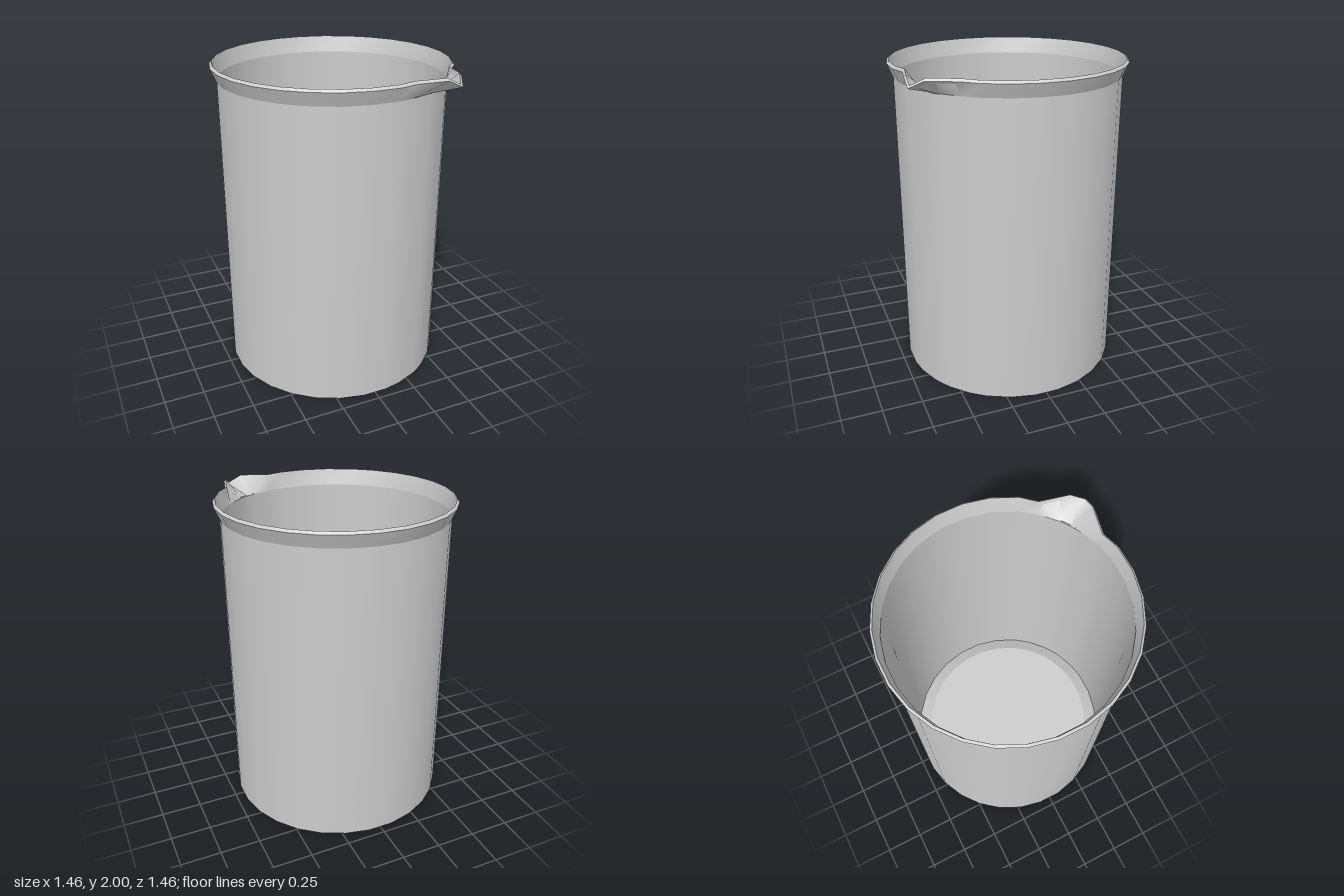
import * as THREE from 'three';
import { mergeGeometries } from 'three/addons/utils/BufferGeometryUtils.js';

const SIDES = 28;
const STEP = 360 / SIDES;

// Pouring lip: angle in degrees from +z towards +x, outward push, lift
const SPOUT = [
  [15.4, -0.012, 0],
  [27, 0.086, 0.007],
  [32.1, 0.131, -0.035],
  [37.4, 0.088, 0.007],
  [49, -0.01, 0],
];

// Regular columns round the beaker, with the spout's own columns in place of three
const columns = [];
for (let i = 0; i < SIDES; i++) {
  const a = (i + 0.5) * STEP;
  if (a < 15 || a > 50) columns.push([a, 0, 0]);
}
columns.push(...SPOUT);
columns.sort((p, q) => p[0] - q[0]);

// One band between two rings [radius, height, spout weight]; smooth around, creased at its edges
function band(lower, upper) {
  const n = columns.length;
  const positions = [];
  const index = [];
  for (const [r, y, w = 0] of [lower, upper]) {
    for (const [deg, push, lift] of columns) {
      const a = THREE.MathUtils.degToRad(deg);
      const radius = r + push * w;
      positions.push(radius * Math.sin(a), y + lift * w, radius * Math.cos(a));
    }
  }
  for (let j = 0; j < n; j++) {
    const k = (j + 1) % n;
    if (lower[0] > 0) index.push(j, k, n + k);
    if (upper[0] > 0) index.push(j, n + k, n + j);
  }
  const geometry = new THREE.BufferGeometry();
  geometry.setAttribute('position', new THREE.Float32BufferAttribute(positions, 3));
  geometry.setIndex(index);
  geometry.computeVertexNormals();
  return geometry;
}

// A run of bands along a profile
function shell(profile) {
  return mergeGeometries(profile.slice(1).map((ring, i) => band(profile[i], ring)));
}

export function createModel() {
  const glass = new THREE.MeshStandardMaterial({ color: 0xcccccc });
  glass.name = 'paleGreyGlass';
  glass.side = THREE.DoubleSide;

  const parts = {
    // pushed-up underside with a sloping foot ring
    base: [[0, 0.05], [0.6, 0.05], [0.697, 0]],
    outerWall: [[0.697, 0], [0.697, 1.895]],
    // flared rim, drawn out into the spout
    rimWithSpout: [[0.697, 1.895], [0.733, 1.978, 1], [0.718, 1.993, 1], [0.692, 1.89]],
    innerWall: [[0.692, 1.89], [0.692, 0.008]],
    floor: [[0.692, 0.008], [0.6, 0.056], [0, 0.056]],
  };

  const beaker = new THREE.Group();
  beaker.name = 'beaker';
  for (const [name, profile] of Object.entries(parts)) {
    const mesh = new THREE.Mesh(shell(profile), glass);
    mesh.name = name;
    beaker.add(mesh);
  }
  beaker.position.set(-0.001, 0, -0.004);

  const model = new THREE.Group();
  model.name = 'model';
  model.add(beaker);
  return model;
}
